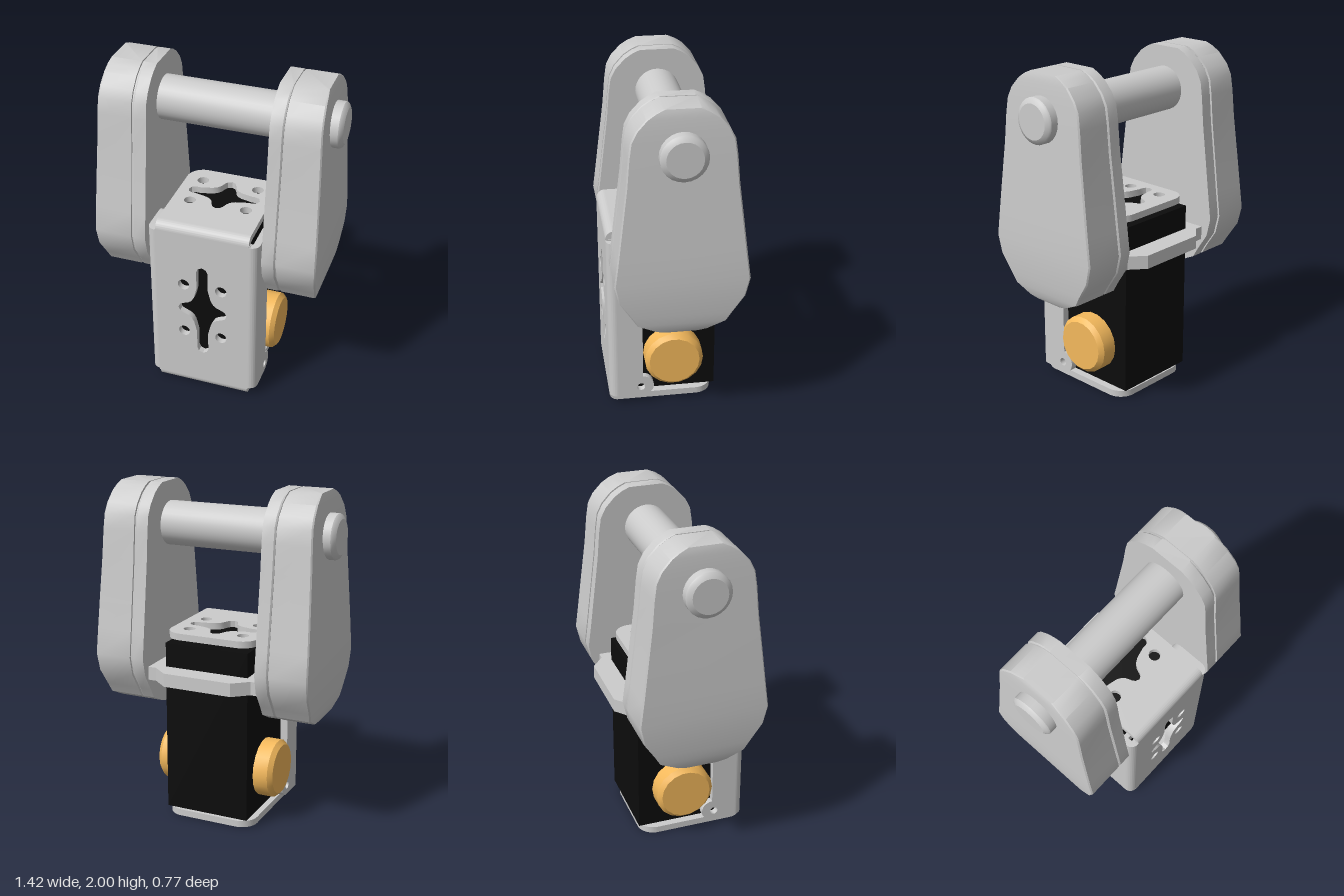
import * as THREE from 'three';
import { toCreasedNormals } from 'three/addons/utils/BufferGeometryUtils.js';

const metal = new THREE.MeshStandardMaterial({ color: 0xcccccc });
const black = new THREE.MeshStandardMaterial({ color: 0x0c0c0c });
const amber = new THREE.MeshStandardMaterial({ color: 0xf4b95c });

function add(parent, name, geometry, material, x = 0, y = 0, z = 0) {
  const mesh = new THREE.Mesh(toCreasedNormals(geometry, 0.5), material);
  mesh.name = name;
  mesh.position.set(x, y, z);
  parent.add(mesh);
  return mesh;
}

// Extrusion centred on its own depth
function slab(shape, depth) {
  return new THREE.ExtrudeGeometry(shape, { depth, bevelEnabled: false, curveSegments: 10 })
    .translate(0, 0, -depth / 2);
}

// Lathe turned to run along +x
function turned(points, sides) {
  return new THREE.LatheGeometry(points.map(p => new THREE.Vector2(...p)), sides).rotateZ(-Math.PI / 2);
}

// Link outline: height, half width, outer x
const LINK = [
  [0.675, 0.1, 0.62], [0.69, 0.15, 0.63], [0.74, 0.25, 0.643], [0.80, 0.285, 0.651], [0.90, 0.35, 0.66],
  [1.01, 0.375, 0.664], [1.16, 0.355, 0.661], [1.32, 0.335, 0.656], [1.58, 0.302, 0.647],
  [1.74, 0.288, 0.642], [1.83, 0.275, 0.638], [1.89, 0.245, 0.635], [1.95, 0.19, 0.63],
  [1.98, 0.145, 0.626], [2.0, 0.1, 0.62],
];

// Loft of the link outline between x0 and x1 (x1 omitted: the curved outer face)
function linkLayer(x0, x1, inset = 0) {
  const pos = [], idx = [], n = 6, b = 0.008;
  for (const [h, hw, outer] of LINK) {
    const w = hw - inset, x = x1 ?? outer;
    const y = 1.34 + (h - 1.34) * (1 - inset);
    for (const [px, pz] of [[x0, -w], [x - b, -w], [x, b - w], [x, w - b], [x - b, w], [x0, w]]) pos.push(px, y, pz);
  }
  const last = (LINK.length - 1) * n;
  for (let r = 0; r < last; r += n) {
    for (let j = 0; j < n; j++) {
      const a = r + j, c = r + (j + 1) % n;
      idx.push(a, a + n, c, c, a + n, c + n);
    }
  }
  for (let j = 1; j < n - 1; j++) idx.push(0, j, j + 1, last, last + j + 1, last + j);
  const g = new THREE.BufferGeometry();
  g.setAttribute('position', new THREE.Float32BufferAttribute(pos, 3));
  g.setIndex(idx);
  return g;
}

// Cross-shaped cutout with four round holes; turn swaps the long axis
function cutHoles(shape, cy, long, turn) {
  const quarter = [[0.15, 0], [0.14, 0.023], [0.12, 0.035], [0.09, 0.046], [0.068, 0.062], [0.052, 0.09],
    [0.042, 0.13], [0.035, 0.16], [0.035, long - 0.035], [0.025, long - 0.01], [0, long]];
  const half = [...quarter, ...quarter.slice(0, -1).reverse().map(([u, v]) => [-u, v])];
  const loop = [...half, ...half.slice(1, -1).reverse().map(([u, v]) => [u, -v])];
  const place = ([u, v]) => turn ? new THREE.Vector2(v, cy + u) : new THREE.Vector2(u, cy + v);
  shape.holes.push(new THREE.Path(loop.map(place)));
  for (const su of [-1, 1]) for (const sv of [-1, 1]) {
    const c = place([su * 0.115, sv * 0.172]);
    shape.holes.push(new THREE.Path().absarc(c.x, c.y, 0.035, 0, Math.PI * 2, true));
  }
}

function makeBracket() {
  const bracket = new THREE.Group();
  bracket.name = 'bracket';
  const T = 0.04, R = 0.05;

  // Front plate
  const front = new THREE.Shape([[-0.285, 0.05], [0.285, 0.05], [0.285, 1.105], [-0.285, 1.105]]
    .map(p => new THREE.Vector2(...p)));
  cutHoles(front, 0.578, 0.315, false);
  add(bracket, 'frontPlate', slab(front, T), metal, 0, 0, 0.365);

  // Top and bottom plates with rounded rear corners
  const end = new THREE.Shape();
  end.moveTo(-0.28, 0.335);
  end.lineTo(-0.28, -0.145);
  end.absarc(-0.18, -0.145, 0.1, Math.PI, Math.PI * 1.5, false);
  end.absarc(0.18, -0.145, 0.1, Math.PI * 1.5, Math.PI * 2, false);
  end.lineTo(0.28, 0.335);
  cutHoles(end, -0.01, 0.22, true);
  const endGeo = slab(end, T).rotateX(Math.PI / 2);
  add(bracket, 'topPlate', endGeo, metal, 0, 1.135, 0);
  add(bracket, 'bottomPlate', endGeo, metal, 0, 0.02, 0);

  // Bent edges joining the plates
  const arc = new THREE.Shape();
  arc.absarc(0, 0, R, 0, Math.PI / 2, false);
  arc.absarc(0, 0, R - T, Math.PI / 2, 0, true);
  const across = () => slab(arc, 0.56).rotateY(-Math.PI / 2);
  add(bracket, 'topBend', across(), metal, 0, 1.105, 0.335);
  add(bracket, 'bottomBend', across().rotateX(Math.PI / 2), metal, 0, 0.05, 0.335);

  // Side flanges with pierced ears
  const side = new THREE.Shape();
  side.moveTo(0.335, 0.06);
  side.lineTo(0.335, 1.1);
  side.lineTo(0.185, 1.1);
  side.absarc(0.185, 1.035, 0.065, Math.PI / 2, Math.PI * 1.5, false);
  side.absarc(0.185, 0.125, 0.065, Math.PI / 2, Math.PI * 1.5, false);
  for (const y of [0.118, 1.042]) {
    side.holes.push(new THREE.Path().absarc(0.197, y, 0.024, 0, Math.PI * 2, true));
  }
  for (const s of [-1, 1]) {
    add(bracket, 'sideFlange', slab(side, T).rotateY(-Math.PI / 2), metal, s * 0.315, 0, 0);
    const corner = slab(arc, 1.04).rotateX(Math.PI / 2);
    if (s < 0) corner.rotateY(-Math.PI / 2);
    add(bracket, 'cornerBend', corner, metal, s * 0.285, 0.58, 0.335);
  }
  return bracket;
}

export function createModel() {
  const model = new THREE.Group();
  model.name = 'servoJoint';
  model.add(makeBracket());

  // Motor body with its mounting flange
  add(model, 'motorBody', new THREE.BoxGeometry(0.52, 1.035, 0.52), black, 0, 0.5775, 0);
  const lug = new THREE.Shape([[-0.35, 0.29], [-0.35, -0.31], [-0.3, -0.31], [-0.21, -0.385],
    [0.21, -0.385], [0.3, -0.31], [0.35, -0.31], [0.35, 0.29]].map(p => new THREE.Vector2(...p)));
  add(model, 'mountingFlange', slab(lug, 0.08).rotateX(Math.PI / 2), metal, 0, 0.91, 0);

  // Cross bar between the links
  add(model, 'crossBar', new THREE.CylinderGeometry(0.13, 0.13, 0.72, 32).rotateZ(Math.PI / 2), metal, 0, 1.752, 0);

  // Links, bar ends and round buttons on both sides
  for (const turn of [0, Math.PI]) {
    const half = new THREE.Group();
    half.name = turn ? 'rightSide' : 'leftSide';
    half.rotation.y = turn;
    add(half, 'linkInnerPlate', linkLayer(0.35, 0.428), metal);
    add(half, 'linkCore', linkLayer(0.42, 0.445, 0.012), metal);
    add(half, 'linkOuterShell', linkLayer(0.437), metal);
    add(half, 'barEnd', turned([[0.13, 0.6], [0.13, 0.685], [0.123, 0.695], [0.1, 0.708], [0, 0.708]], 24),
      metal, 0, 1.752, 0);
    add(half, 'button', turned([[0, 0.25], [0.175, 0.25], [0.175, 0.35], [0.15, 0.376], [0, 0.376]], 18),
      amber, 0, 0.313, 0);
    model.add(half);
  }
  return model;
}
